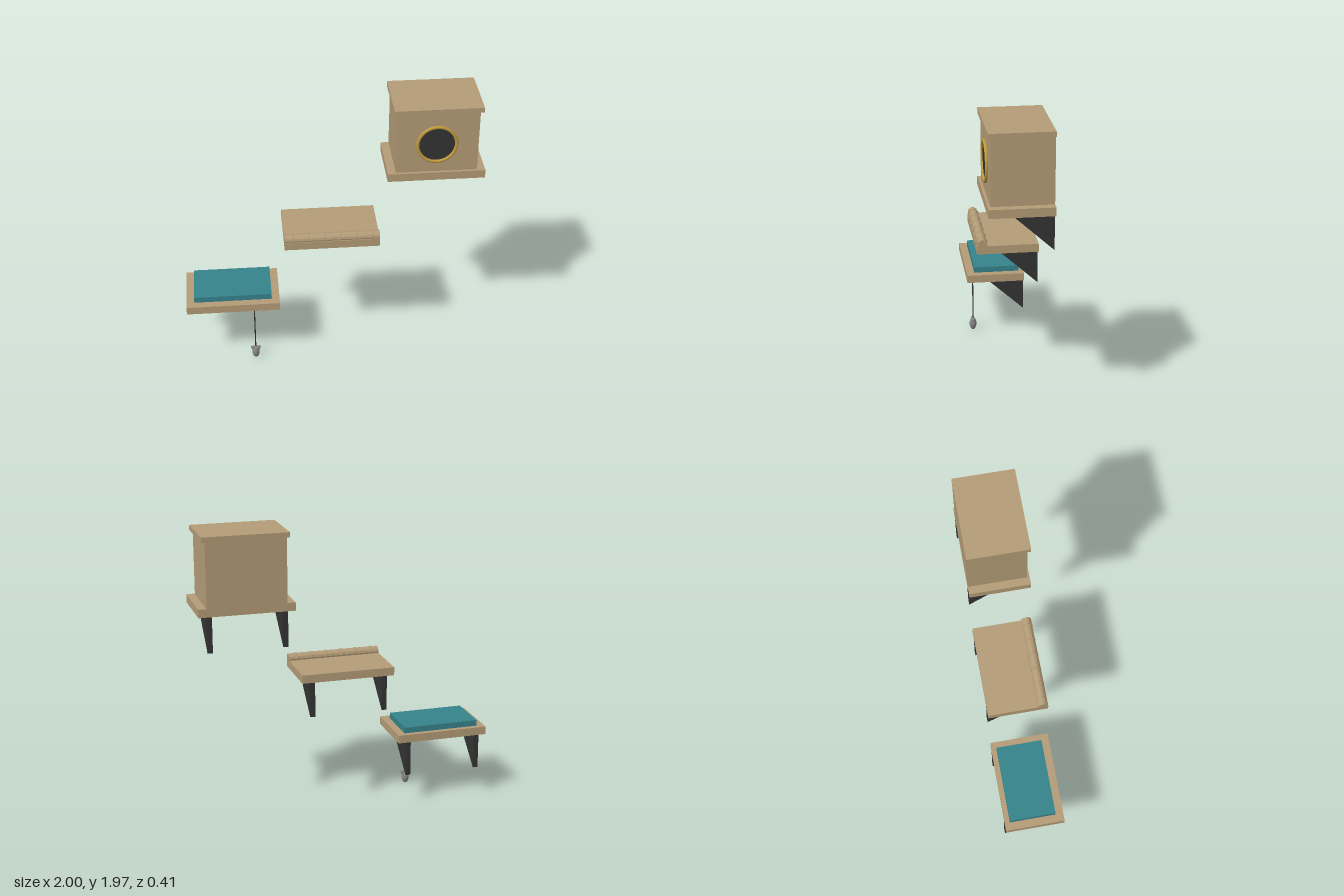
import * as THREE from 'three';

const mat = (name, color, flatShading = false) => {
  const m = new THREE.MeshStandardMaterial({ color, flatShading });
  m.name = name;
  return m;
};

export function createModel() {
  const wood = mat('wood', 0xb39b76, true);
  const teal = mat('teal cushion', 0x36838b);
  const black = mat('black metal', 0x333333);
  const gold = mat('gold trim', 0xbd9a3e);
  const grey = mat('grey felt', 0x858585);
  const root = new THREE.Group();
  root.name = 'wallPerches';

  const add = (parent, name, geometry, material, x = 0, y = 0, z = 0) => {
    const mesh = new THREE.Mesh(geometry, material);
    mesh.name = name;
    mesh.position.set(x, y, z);
    parent.add(mesh);
    return mesh;
  };
  // Box given by its limits on each axis
  const box = (parent, name, material, x0, x1, y0, y1, z0, z1) =>
    add(parent, name, new THREE.BoxGeometry(x1 - x0, y1 - y0, z1 - z0), material,
      (x0 + x1) / 2, (y0 + y1) / 2, (z0 + z1) / 2);

  // Triangular bracket: profile in z and y, extruded along x
  const profile = new THREE.Shape([[0.205, 0], [-0.06, 0], [0.205, -0.24]]
    .map(([a, b]) => new THREE.Vector2(a, b)));
  const bracket = new THREE.ExtrudeGeometry(profile, { depth: 0.035, bevelEnabled: false })
    .translate(0, 0, -0.0175).rotateY(Math.PI / 2);

  // Plank on two brackets; the group's origin is the underside centre
  const shelf = (name, x, y) => {
    const g = new THREE.Group();
    g.name = name;
    g.position.set(x, y, 0);
    box(g, 'plank', wood, -0.32, 0.32, 0, 0.056, -0.205, 0.205);
    for (const s of [-1, 1]) add(g, 'bracket', bracket, black, s * 0.2505);
    root.add(g);
    return g;
  };

  // Low shelf with cushion and hanging toy
  const low = shelf('cushionShelf', -0.68, 0.449);
  box(low, 'cushion', teal, -0.266, 0.266, 0.056, 0.097, -0.17, 0.15);
  const toy = new THREE.Group();
  toy.name = 'hangingToy';
  toy.position.set(-0.537, 0, 0.15);
  add(toy, 'string', new THREE.CylinderGeometry(0.004, 0.004, 0.36, 8), black, 0, 0.27);
  add(toy, 'toyBody', new THREE.SphereGeometry(0.026, 16, 12).scale(1, 1.82, 1), grey, 0, 0.0475);
  for (const s of [-1, 1])
    add(toy, 'toyEar', new THREE.SphereGeometry(0.013, 10, 8), grey, s * 0.022, 0.084);
  root.add(toy);

  // Middle shelf with a ribbed roll on the front edge
  const middle = shelf('rollShelf', 0, 0.946);
  add(middle, 'roll', new THREE.CylinderGeometry(0.033, 0.033, 0.64, 12).rotateZ(Math.PI / 2),
    wood, 0, 0.066, 0.169);
  const rib = new THREE.TorusGeometry(0.033, 0.005, 6, 16).rotateY(Math.PI / 2);
  for (let i = 0; i < 6; i++) add(middle, 'rollRib', rib, wood, -0.268 + i * 0.107, 0.066, 0.169);

  // High shelf with a nesting house
  const high = shelf('houseShelf', 0.68, 1.45);
  box(high, 'houseBody', wood, -0.266, 0.266, 0.056, 0.487, -0.205, 0.187);
  box(high, 'houseLid', wood, -0.287, 0.287, 0.487, 0.52, -0.205, 0.205);
  add(high, 'doorOpening', new THREE.CircleGeometry(0.126, 40), black, -0.005, 0.26, 0.191);
  add(high, 'doorRing', new THREE.TorusGeometry(0.126, 0.011, 10, 40), gold, -0.005, 0.26, 0.193);

  return root;
}
